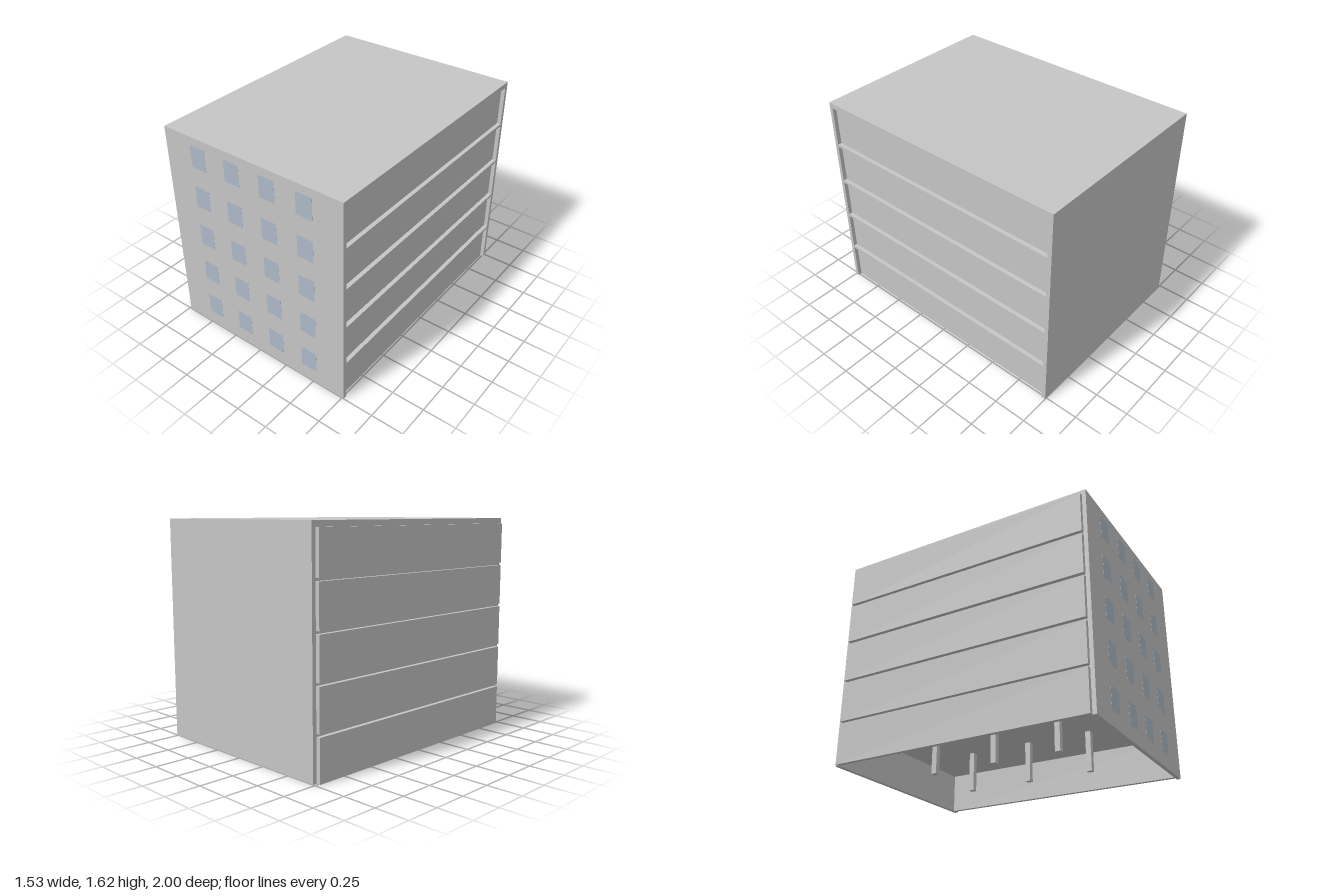
import * as THREE from 'three';

const FLOORS = 5, STEP = 0.32, PANEL_H = 0.3, SLAB_T = 0.02, WALL_T = 0.03;
const CX = 0.015, WIDTH = 1.5; // the frame sits slightly off centre because of the left cladding

export function createModel() {
  const concrete = new THREE.MeshStandardMaterial({ color: 0xc5c5c5 });
  concrete.name = 'concrete grey';
  const glass = new THREE.MeshStandardMaterial({ color: 0xaebac8 });
  glass.name = 'window blue';

  const model = new THREE.Group();
  model.name = 'building';

  // Box given by its extents along each axis
  const box = (name, parent, mat, [x0, x1], [y0, y1], [z0, z1]) => {
    const mesh = new THREE.Mesh(new THREE.BoxGeometry(x1 - x0, y1 - y0, z1 - z0), mat);
    mesh.position.set((x0 + x1) / 2, (y0 + y1) / 2, (z0 + z1) / 2);
    mesh.name = name;
    parent.add(mesh);
    return mesh;
  };

  const spanX = [CX - WIDTH / 2, CX + WIDTH / 2];
  const innerZ = [-1 + WALL_T, 1 - WALL_T];
  const top = FLOORS * STEP;

  // Full-height end walls and roof
  box('frontWall', model, concrete, spanX, [0, top], [innerZ[1], 0.999]);
  box('backWall', model, concrete, spanX, [0, top], [-1, innerZ[0]]);
  box('roof', model, concrete, spanX, [top, top + SLAB_T], [-1, 0.999]);

  for (let i = 0; i < FLOORS; i++) {
    const y = i * STEP;
    const floor = new THREE.Group();
    floor.name = `floor${i + 1}`;
    model.add(floor);

    // Ceiling slab and the two side panels: one outside the frame, one set back
    box('slab', floor, concrete, spanX, [y + PANEL_H, y + STEP], innerZ);
    for (const [name, x] of [['outerSidePanel', spanX[0] - WALL_T], ['recessedSidePanel', spanX[1] - 2 * WALL_T]])
      box(name, floor, concrete, [x, x + WALL_T], [y, y + PANEL_H], innerZ);

    // Interior columns
    for (const x of [CX - 0.25, CX + 0.25])
      for (const z of [-0.5, 0, 0.5])
        box('column', floor, concrete, [x - 0.02, x + 0.02], [y, y + PANEL_H], [z - 0.02, z + 0.02]);

    // Front windows
    for (let k = 0; k < 4; k++) {
      const x = -0.5 + k * 0.3;
      box('window', floor, glass, [x, x + 0.13], [y + 0.11, y + 0.277], [0.998, 1]);
    }
  }
  return model;
}
